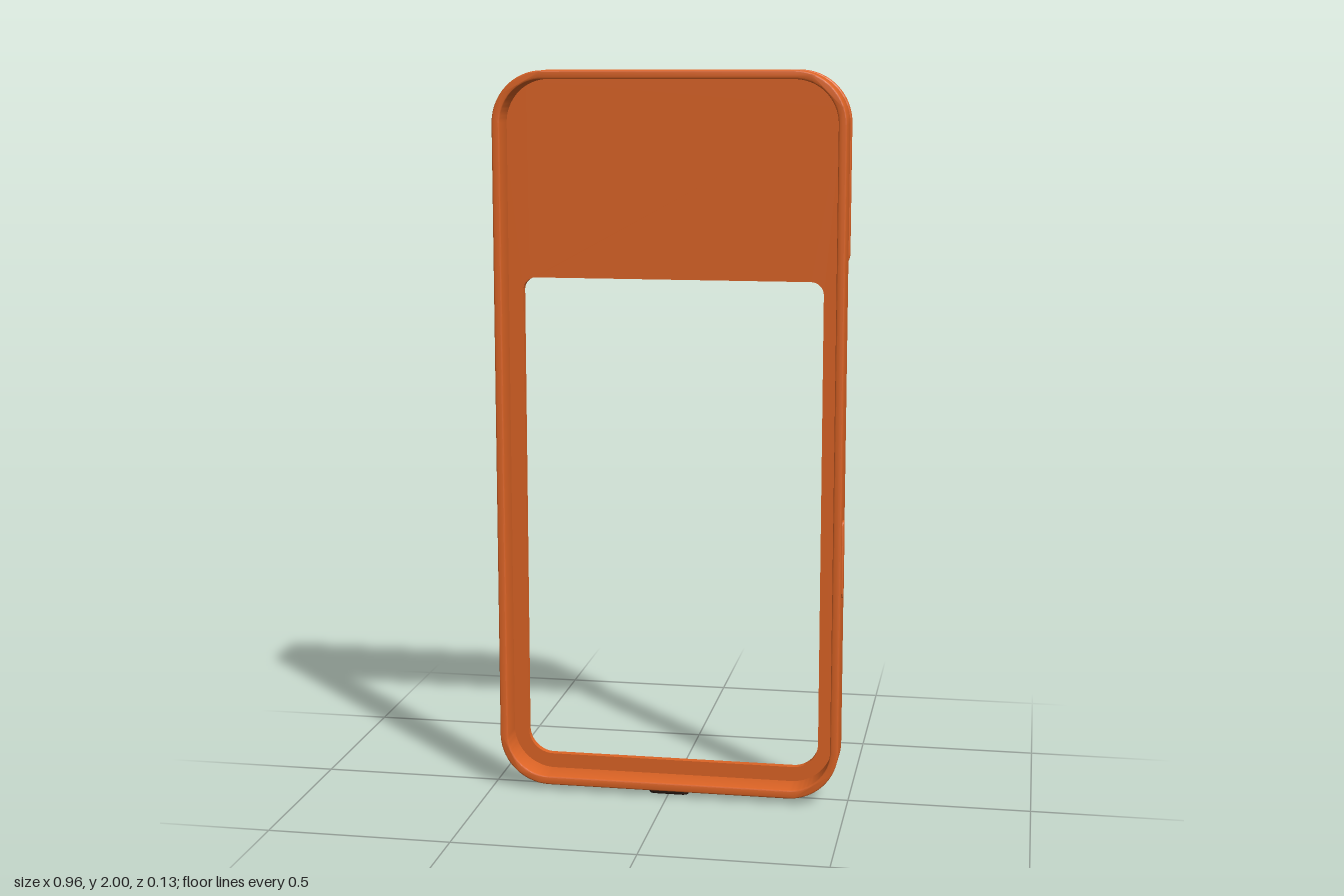
import * as THREE from 'three';
import { toCreasedNormals } from 'three/addons/utils/BufferGeometryUtils.js';

// Rounded rectangle with separate top and bottom corner radii
function outline(PathType, halfW, y0, y1, rTop, rBottom) {
  const p = new PathType();
  p.moveTo(-halfW + rBottom, y0);
  p.lineTo(halfW - rBottom, y0);
  p.absarc(halfW - rBottom, y0 + rBottom, rBottom, -Math.PI / 2, 0);
  p.lineTo(halfW, y1 - rTop);
  p.absarc(halfW - rTop, y1 - rTop, rTop, 0, Math.PI / 2);
  p.lineTo(-halfW + rTop, y1);
  p.absarc(-halfW + rTop, y1 - rTop, rTop, Math.PI / 2, Math.PI);
  p.lineTo(-halfW, y0 + rBottom);
  p.absarc(-halfW + rBottom, y0 + rBottom, rBottom, Math.PI, Math.PI * 1.5);
  return p;
}

// Slab between two z values, with softened edges that stay inside the outline
function slab(shape, z0, z1, bevel = 0) {
  const geometry = new THREE.ExtrudeGeometry(shape, {
    depth: z1 - z0 - 2 * bevel,
    bevelEnabled: bevel > 0,
    bevelThickness: bevel,
    bevelSize: bevel,
    bevelOffset: -bevel,
    bevelSegments: 3,
    curveSegments: 14,
  });
  geometry.translate(0, 0, z0 + bevel);
  return toCreasedNormals(geometry, 0.6);
}

export function createModel() {
  const orange = new THREE.MeshStandardMaterial({ color: 0xdd6425 });
  orange.name = 'orange';
  const dark = new THREE.MeshStandardMaterial({ color: 0x2a1810 });
  dark.name = 'dark brown';

  const model = new THREE.Group();
  model.name = 'phoneCase';
  const add = (name, geometry, material) => {
    const mesh = new THREE.Mesh(geometry, material);
    mesh.name = name;
    model.add(mesh);
    return mesh;
  };

  // Side walls running round the whole case
  const wall = outline(THREE.Shape, 0.476, 0.018, 1.998, 0.14, 0.14);
  wall.holes.push(outline(THREE.Path, 0.454, 0.042, 1.975, 0.116, 0.116));
  add('sideWall', slab(wall, -0.038, 0.062, 0.004), orange);

  // Back panel with the large window
  const back = outline(THREE.Shape, 0.466, 0.03, 1.986, 0.128, 0.128);
  back.holes.push(outline(THREE.Path, 0.413, 0.083, 1.44, 0.035, 0.07));
  add('backPanel', slab(back, -0.0375, -0.018), orange);

  // Raised plate across the top of the back
  const raised = outline(THREE.Shape, 0.479, 1.474, 2, 0.14, 0.04);
  add('raisedPlate', slab(raised, -0.064, -0.037, 0.006), orange);

  // Slim button on the left wall
  const button = slab(outline(THREE.Shape, 0.017, 0.585, 0.8, 0.016, 0.016), 0, 0.01, 0.003);
  button.rotateY(Math.PI / 2);
  add('sideButton', button, orange).position.set(0.47, 0, 0.018);

  // Pill-shaped port on the bottom edge
  const port = slab(outline(THREE.Shape, 0.056, -0.017, 0.017, 0.0165, 0.0165), 0, 0.024, 0.004);
  port.rotateX(Math.PI / 2);
  add('bottomPort', port, dark).position.set(0, 0.026, 0.022);

  // Stand the lowest point on the ground
  const box = new THREE.Box3().setFromObject(model);
  for (const part of model.children) part.position.y -= Math.min(box.min.y, 0);
  return model;
}
